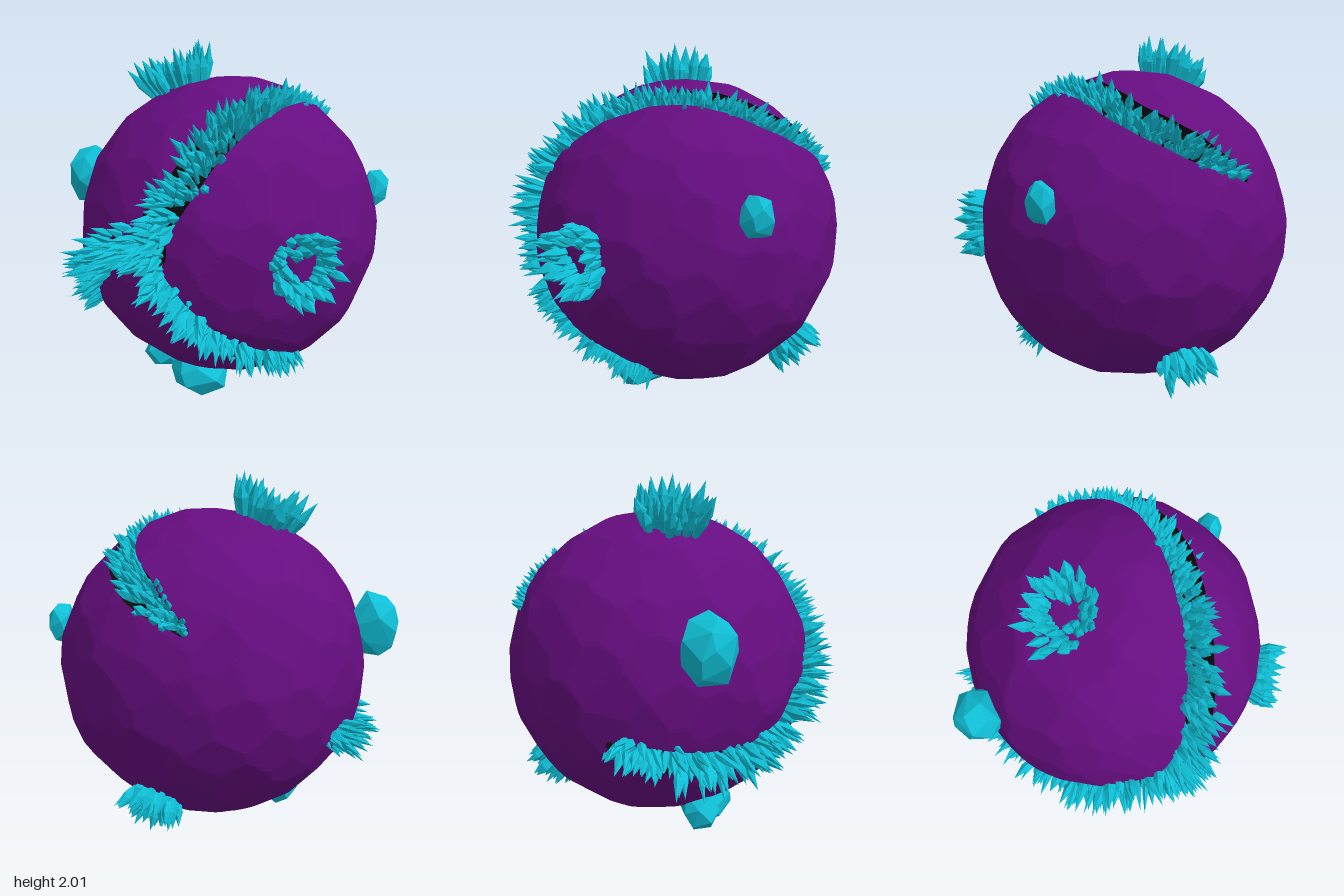
import * as THREE from 'three';
import { mergeGeometries } from 'three/addons/utils/BufferGeometryUtils.js';
import { ConvexGeometry } from 'three/addons/geometries/ConvexGeometry.js';

const V = (x, y, z) => new THREE.Vector3(x, y, z);
const CENTER = V(0.01, 0.97, -0.11);
const UP = V(0, 1, 0);

export function createModel() {
  let seed = 7;
  const rand = (a = 0, b = 1) => {
    seed = (seed * 1664525 + 1013904223) % 4294967296;
    return a + (b - a) * (seed / 4294967296);
  };
  const material = (name, color) => {
    const m = new THREE.MeshStandardMaterial({ color });
    m.name = name;
    return m;
  };
  const purple = material('purple stone', 0x660d80);
  const black = material('black crevice', 0x0b0b0b);
  const teal = material('teal crystal', 0x0fbfd6);

  const group = new THREE.Group();
  const add = (name, geometry, mat) => {
    const mesh = new THREE.Mesh(geometry, mat);
    mesh.name = name;
    mesh.position.copy(CENTER);
    group.add(mesh);
    return mesh;
  };

  // Three cracks that meet at the front, as directions from the centre
  const cracks = [
    { name: 'upperCrackCrystals', w: 0.1, count: 330, front: 0.3, far: 0.17, pts: [[.06, .07, .84], [.12, .17, .82], [.21, .35, .73],
      [.3, .6, .5], [.36, .76, .12], [.35, .74, -.2], [.26, .62, -.5], [.02, .47, -.7], [-.22, .33, -.74]] },
    { name: 'rightCrackCrystals', w: 0.09, count: 190, front: 0.27, far: 0.28, pts: [[.06, .07, .84], [-.16, 0, .83], [-.36, -.15, .75],
      [-.5, -.3, .62], [-.63, -.36, .4], [-.75, -.34, .1], [-.79, -.26, -.2]] },
    { name: 'leftCrackCrystals', w: 0.07, count: 160, front: 0.27, far: 0.22, pts: [[.06, .07, .84], [.14, -.08, .83], [.26, -.24, .76],
      [.39, -.43, .62], [.49, -.54, .42], [.55, -.63, .12]] },
  ];
  const samples = [{ p: V(.09, .07, .84).normalize(), w: 0.14 }];
  const taper = (t) => Math.min(1, 0.3 + (1 - t) * 5);
  for (const c of cracks) {
    c.curve = new THREE.CatmullRomCurve3(c.pts.map((p) => V(...p).normalize()));
    for (let i = 0; i <= 120; i++) {
      samples.push({ p: c.curve.getPointAt(i / 120).normalize(), w: c.w * taper(i / 120) });
    }
  }

  // Facet planes spread evenly over the ball
  const planes = [];
  for (let i = 0; i < 280; i++) {
    const y = 1 - (2 * i + 1) / 280, a = i * 2.39996, r = Math.sqrt(1 - y * y);
    const n = V(r * Math.cos(a) + rand(-.07, .07), y + rand(-.07, .07), r * Math.sin(a) + rand(-.07, .07));
    planes.push({ n: n.normalize(), h: rand(0.826, 0.842) });
  }
  const shellRadius = (d) => {
    let r = 0.87;
    for (const { n, h } of planes) {
      const k = n.dot(d);
      if (k > 0.9) r = Math.min(r, h / k);
    }
    return r;
  };

  // Faceted ball with the cracks sunk into it
  const ball = new THREE.IcosahedronGeometry(1, 46);
  const pos = ball.attributes.position;
  const shell = [], crevice = [], d = V(0, 0, 0);
  for (let f = 0; f < pos.count; f += 3) {
    const corners = [];
    let sunk = false;
    for (let k = 0; k < 3; k++) {
      d.fromBufferAttribute(pos, f + k).normalize();
      let edge = Infinity, near = null;
      for (const s of samples) {
        const e = d.distanceTo(s.p) - s.w;
        if (e < edge) { edge = e; near = s; }
      }
      let depth = 1;
      if (Math.abs(edge) < 0.013) {
        d.sub(near.p).setLength(near.w).add(near.p).normalize();
      } else if (edge < 0) {
        depth = 0.9;
        sunk = true;
      }
      d.multiplyScalar(shellRadius(d) * depth);
      corners.push(d.x, d.y, d.z);
    }
    (sunk ? crevice : shell).push(...corners);
  }
  const surface = (array) => {
    const g = new THREE.BufferGeometry();
    g.setAttribute('position', new THREE.Float32BufferAttribute(array, 3));
    g.computeVertexNormals();
    return g;
  };
  add('stoneBall', surface(shell), purple);
  add('crevice', surface(crevice), black);

  // One pointed crystal, widest a little past the middle
  const crystal = (base, axis, length, radius) => {
    const wide = rand(0.5, 0.7);
    const profile = [[0.45, 0], [1, wide], [0, 1]].map(([r, y]) => new THREE.Vector2(r * radius, y * length));
    const g = new THREE.LatheGeometry(profile, 5, rand(0, 6)).toNonIndexed();
    g.deleteAttribute('uv');
    g.applyQuaternion(new THREE.Quaternion().setFromUnitVectors(UP, axis.clone().normalize()));
    g.translate(base.x, base.y, base.z);
    g.computeVertexNormals();
    return g;
  };

  // Crystals growing out of each crack
  for (const c of cracks) {
    const parts = [];
    for (let i = 0; i < c.count; i++) {
      const t = Math.min(1, (i + rand()) / c.count);
      const out = c.curve.getPointAt(t).normalize();
      const along = c.curve.getTangentAt(t);
      const side = V(0, 0, 0).crossVectors(along, out).normalize();
      const s = rand(-1, 1);
      const base = out.clone().addScaledVector(side, s * c.w * taper(t) * 0.8).normalize().multiplyScalar(0.735);
      const axis = out.clone().addScaledVector(side, s * 0.3 + rand(-.2, .2)).addScaledVector(along, rand(-.35, .35));
      const reach = THREE.MathUtils.lerp(c.front, c.far, Math.min(1, t * 1.8));
      parts.push(crystal(base, axis, reach * rand(0.55, 1), rand(0.016, 0.028)));
    }
    add(c.name, mergeGeometries(parts), teal);
  }

  // Ring-shaped crystal clusters standing on the ball
  const cluster = (name, dir, spread, reach, count) => {
    const out = V(...dir).normalize();
    const u = V(0, 0, 0).crossVectors(out, V(.3, .2, 1)).normalize();
    const v = V(0, 0, 0).crossVectors(out, u);
    const parts = [];
    for (let i = 0; i < count; i++) {
      const a = i * 2.39996, r = spread * Math.sqrt(rand(0.15, 1));
      const off = u.clone().multiplyScalar(Math.cos(a)).addScaledVector(v, Math.sin(a));
      const base = out.clone().multiplyScalar(0.83).addScaledVector(off, r * 0.75).setLength(0.79);
      const axis = out.clone().addScaledVector(off, 0.4 * r / spread).addScaledVector(u, rand(-.12, .12));
      parts.push(crystal(base, axis, reach * rand(0.55, 1), rand(0.022, 0.036)));
    }
    add(name, mergeGeometries(parts), teal);
  };
  cluster('topCluster', [-.28, .79, .09], 0.2, 0.27, 60);
  cluster('sideCluster', [.74, 0, .43], 0.2, 0.21, 60);
  cluster('backCluster', [.03, -.59, -.58], 0.14, 0.22, 42);

  // Blocky gems half buried in the ball
  const gem = (name, at, size, count) => {
    const points = [];
    for (let i = 0; i < count; i++) {
      const y = 1 - (2 * i + 1) / count, a = i * 2.39996 + rand(-.3, .3), r = Math.sqrt(1 - y * y);
      const k = rand(0.95, 1.08);
      points.push(V(r * Math.cos(a) * size[0], y * size[1], r * Math.sin(a) * size[2]).multiplyScalar(k));
    }
    add(name, new ConvexGeometry(points), teal).position.set(...at);
  };
  gem('sideGem', [-0.82, 1.2, 0.16], [0.14, 0.18, 0.14], 22);
  gem('bottomGem', [0, 0.13, 0.16], [0.19, 0.125, 0.17], 18);
  gem('smallBottomGem', [-0.29, 0.17, 0.14], [0.12, 0.11, 0.11], 16);
  gem('backGem', [0.72, 1.2, -0.54], [0.07, 0.11, 0.09], 18);

  return group;
}
